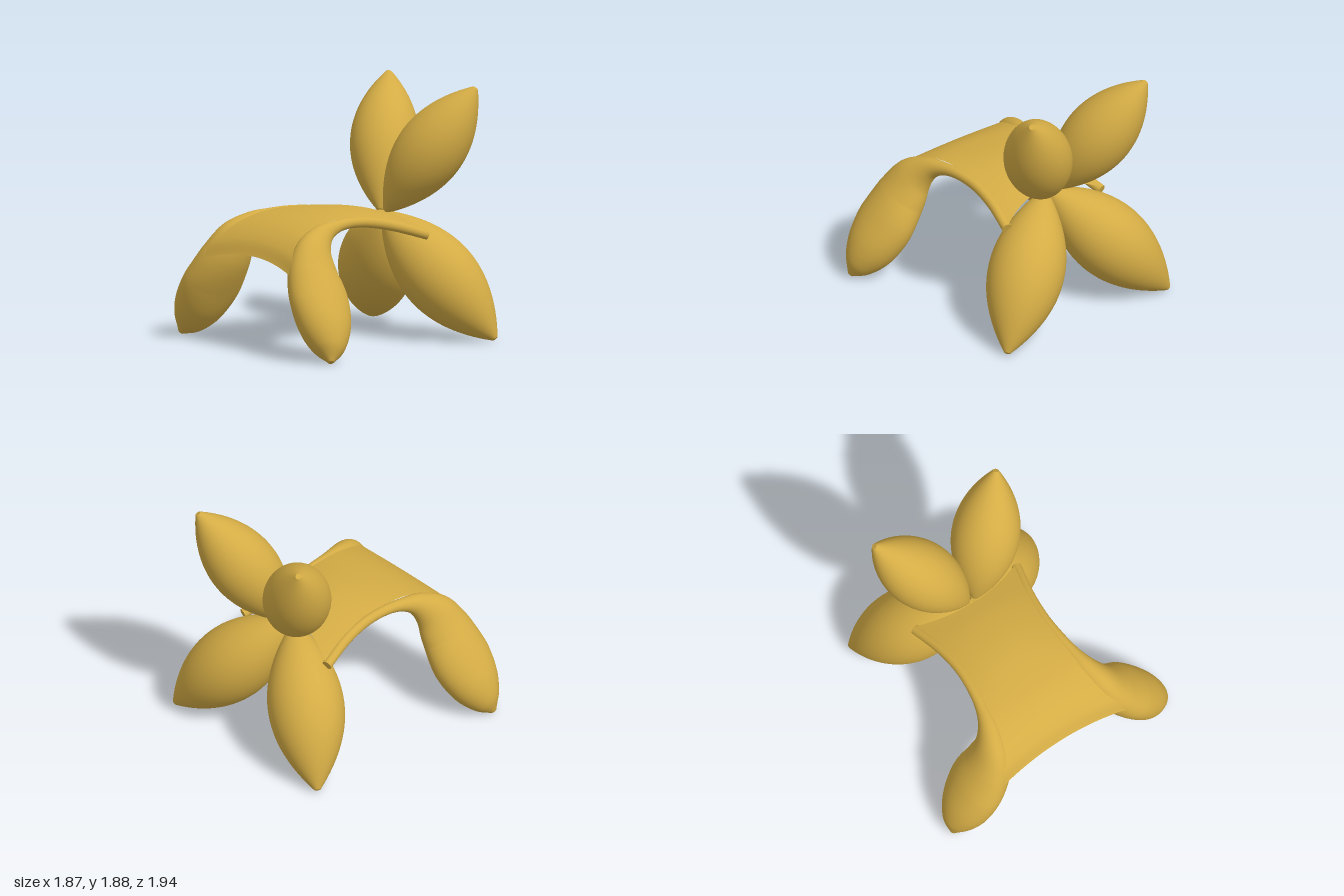
import * as THREE from 'three';

const V = (a) => new THREE.Vector3(...a);

// Grid of rows into an indexed smooth surface
function gridGeometry(rows, closed) {
  const n = rows[0].length, pos = [], idx = [];
  rows.forEach((row) => row.forEach((p) => pos.push(p.x, p.y, p.z)));
  for (let i = 0; i < rows.length - 1; i++) {
    for (let j = 0; j < (closed ? n : n - 1); j++) {
      const a = i * n + j, b = i * n + (j + 1) % n;
      idx.push(a, b, a + n, b, b + n, a + n);
    }
  }
  const g = new THREE.BufferGeometry();
  g.setAttribute('position', new THREE.Float32BufferAttribute(pos, 3));
  g.setIndex(idx);
  g.computeVertexNormals();
  return g;
}

// Spindle petal running from base to tip with small flat ends
function petalGeometry(base, tip, radius) {
  const axis = tip.clone().sub(base), L = axis.length(), end = 0.022;
  const pts = [new THREE.Vector2(0, 0), new THREE.Vector2(end, 0)];
  for (let i = 0; i <= 40; i++) {
    const t = i / 40;
    pts.push(new THREE.Vector2(end + (radius - end) * 4 * t * (1 - t), t * L));
  }
  pts.push(new THREE.Vector2(end, L), new THREE.Vector2(0, L));
  const g = new THREE.LatheGeometry(pts, 56);
  g.applyQuaternion(new THREE.Quaternion().setFromUnitVectors(new THREE.Vector3(0, 1, 0), axis.normalize()));
  return g.translate(base.x, base.y, base.z);
}

// Rail that swells into a leg: x, y, z, half width, half thickness
const LEG = [
  [0.46, 0.797, 0.45, 0.037, 0.037],
  [0.22, 0.873, 0.395, 0.04, 0.038],
  [0, 0.92, 0.372, 0.04, 0.038],
  [-0.2, 0.935, 0.38, 0.04, 0.04],
  [-0.36, 0.917, 0.4, 0.052, 0.05],
  [-0.495, 0.865, 0.428, 0.093, 0.08],
  [-0.607, 0.755, 0.48, 0.161, 0.12],
  [-0.665, 0.6, 0.55, 0.21, 0.155],
  [-0.693, 0.41, 0.67, 0.242, 0.17],
  [-0.725, 0.23, 0.785, 0.205, 0.165],
  [-0.755, 0.1, 0.875, 0.125, 0.115],
  [-0.785, 0.012, 0.935, 0.022, 0.022],
];

function legGeometry(side) {
  const path = new THREE.CatmullRomCurve3(LEG.map((p) => V([p[0], p[1], p[2] * side])), false, 'catmullrom');
  const size = new THREE.CatmullRomCurve3(LEG.map((p) => V([p[3], p[4], 0])), false, 'catmullrom');
  const rows = [], N = 110, S = 40;
  const ring = (t, k) => {
    const c = path.getPoint(t), s = size.getPoint(t), T = path.getTangent(t);
    const w = new THREE.Vector3().crossVectors(T, V([0, 0, 1])).normalize();
    const n = new THREE.Vector3().crossVectors(T, w);
    const row = [];
    for (let j = 0; j < S; j++) {
      const a = (j / S) * Math.PI * 2;
      row.push(c.clone().addScaledVector(w, Math.cos(a) * s.x * k).addScaledVector(n, Math.sin(a) * s.y * k));
    }
    rows.push(row);
  };
  // Flat caps at both ends
  ring(0, 0); ring(0, 1);
  for (let i = 0; i <= N; i++) ring(i / N, 1);
  ring(1, 1); ring(1, 0);
  return gridGeometry(rows, true);
}

// Saddle: ridge line along the middle and the edge line lying on each leg
const RIDGE = [[0.36, 0.93, 0], [0.2, 0.972, 0], [0, 1, 0], [-0.17, 1.003, 0], [-0.35, 0.985, 0],
  [-0.52, 0.953, 0], [-0.66, 0.893, 0], [-0.77, 0.805, 0], [-0.835, 0.7, 0]];
const EDGE = [[0.468, 0.826, 0.445], [0.2, 0.915, 0.385], [0, 0.955, 0.36], [-0.2, 0.97, 0.362], [-0.4, 0.96, 0.375],
  [-0.55, 0.925, 0.395], [-0.7, 0.855, 0.445], [-0.82, 0.74, 0.515], [-0.88, 0.615, 0.565]];

function saddleGeometry() {
  const ridge = new THREE.CatmullRomCurve3(RIDGE.map(V), false, 'catmullrom');
  const edge = new THREE.CatmullRomCurve3(EDGE.map(V), false, 'catmullrom');
  const rows = [];
  for (let i = 0; i <= 64; i++) {
    const c = ridge.getPoint(i / 64), e = edge.getPoint(i / 64), row = [];
    for (let j = 0; j <= 32; j++) {
      const v = 1 - j / 16, p = c.clone().lerp(e, v * v);
      p.z = e.z * v;
      row.push(p);
    }
    rows.push(row);
  }
  // Rows run toward -x and columns toward -z, so the upper side faces up
  return gridGeometry(rows, false);
}

export function createModel() {
  const gold = new THREE.MeshStandardMaterial({ color: 0xd4ac45, side: THREE.DoubleSide });
  gold.name = 'gold';
  const model = new THREE.Group();
  model.name = 'petalSeat';
  const add = (name, geometry) => {
    const m = new THREE.Mesh(geometry, gold);
    m.name = name;
    model.add(m);
  };

  add('saddle', saddleGeometry());
  add('frontRailLeg', legGeometry(1));
  add('backRailLeg', legGeometry(-1));

  // Two raised petals and two supporting petals
  add('frontUpperPetal', petalGeometry(V([0.385, 0.93, 0.035]), V([0.85, 1.868, 0.525]), 0.255));
  add('backUpperPetal', petalGeometry(V([0.385, 0.93, -0.035]), V([0.85, 1.86, -0.555]), 0.255));
  add('frontLowerPetal', petalGeometry(V([0.375, 0.92, 0.015]), V([0.855, 0.02, 0.765]), 0.285));
  add('backLowerPetal', petalGeometry(V([0.375, 0.92, -0.015]), V([0.855, 0.02, -0.765]), 0.285));
  return model;
}
